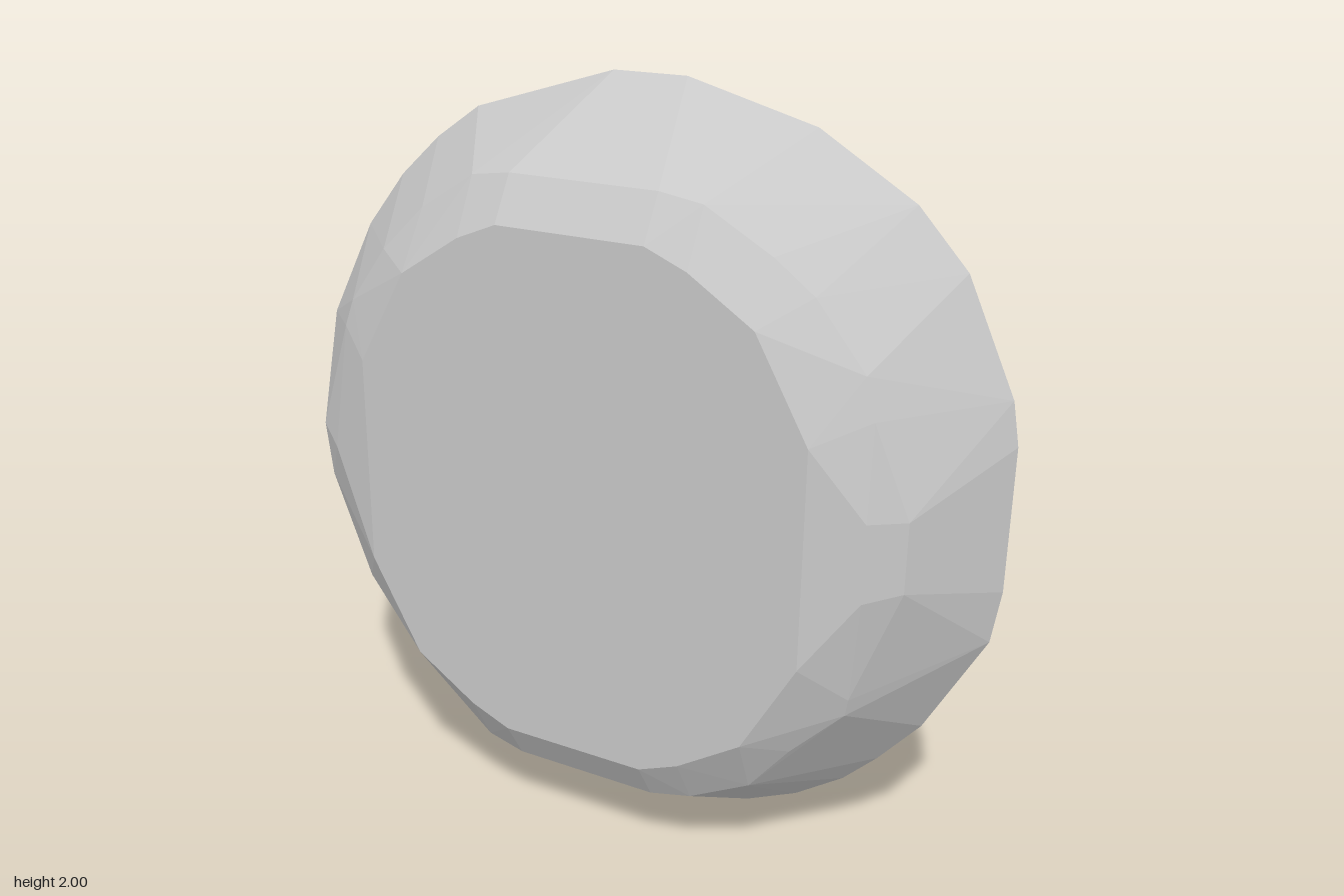
import * as THREE from 'three';
import { ConvexGeometry } from 'three/addons/geometries/ConvexGeometry.js';

// Irregular rim lying in the flat back plane: [x, y]
const rim = [
  [-0.08, 2], [0.12, 2], [0.46, 1.91], [0.71, 1.76], [0.84, 1.62], [0.97, 1.34],
  [0.99, 1.23], [0.99, 0.86], [0.97, 0.72], [0.82, 0.44], [0.71, 0.31], [0.62, 0.22],
  [0.49, 0.13], [0.35, 0.065], [0.06, 0], [-0.1, 0], [-0.45, 0.07], [-0.54, 0.11],
  [-0.71, 0.21], [-0.84, 0.36], [-0.985, 0.62], [-1, 0.88], [-0.99, 1.26],
  [-0.85, 1.53], [-0.73, 1.68], [-0.61, 1.79], [-0.48, 1.88], [-0.33, 1.925],
];

// Shoulder where the sloped side turns in towards the front: [x, y, z]
const shoulder = [
  [-0.2, 1.79, 0.11], [0.2, 1.79, 0.11], [0.31, 1.77, 0.1], [0.48, 1.67, 0.09],
  [0.58, 1.59, 0.08], [0.71, 1.43, 0.08], [0.74, 1.33, 0.09], [0.83, 1.1, 0.07],
  [0.83, 0.92, 0.07], [0.72, 0.62, 0.09], [0.71, 0.57, 0.08], [0.58, 0.44, 0.1],
  [0.47, 0.3, 0.09], [0.31, 0.22, 0.1], [0.2, 0.2, 0.11], [-0.2, 0.2, 0.11],
  [-0.31, 0.22, 0.1], [-0.49, 0.35, 0.07], [-0.6, 0.44, 0.07], [-0.71, 0.6, 0.08],
  [-0.83, 0.88, 0.07], [-0.84, 1.03, 0.08], [-0.73, 1.33, 0.1], [-0.71, 1.4, 0.09],
  [-0.6, 1.55, 0.09], [-0.48, 1.67, 0.08], [-0.32, 1.77, 0.09],
  // narrow bevel at the two sides
  [-0.75, 1, 0.145], [0.75, 1.1, 0.13], [0.75, 0.9, 0.13],
];

// Upper right quarter of the flat front face, mirrored to all four quarters
const frontQuarter = [[0.2, 0.685], [0.31, 0.64], [0.48, 0.53], [0.62, 0.28]];

export function createModel() {
  const group = new THREE.Group();
  const stone = new THREE.MeshStandardMaterial({ color: 0xc8c8c8, flatShading: true });

  const points = [
    ...rim.map(([x, y]) => new THREE.Vector3(x, y, -0.178)),
    ...shoulder.map(([x, y, z]) => new THREE.Vector3(x, y, z)),
  ];
  for (const sx of [-1, 1]) {
    for (const sy of [-1, 1]) {
      for (const [x, y] of frontQuarter) {
        points.push(new THREE.Vector3(sx * x, 0.993 + sy * y, 0.177));
      }
    }
  }

  // Single faceted, bevelled disc
  const disc = new THREE.Mesh(new ConvexGeometry(points), stone);
  disc.name = 'facetedDisc';
  group.add(disc);
  return group;
}
